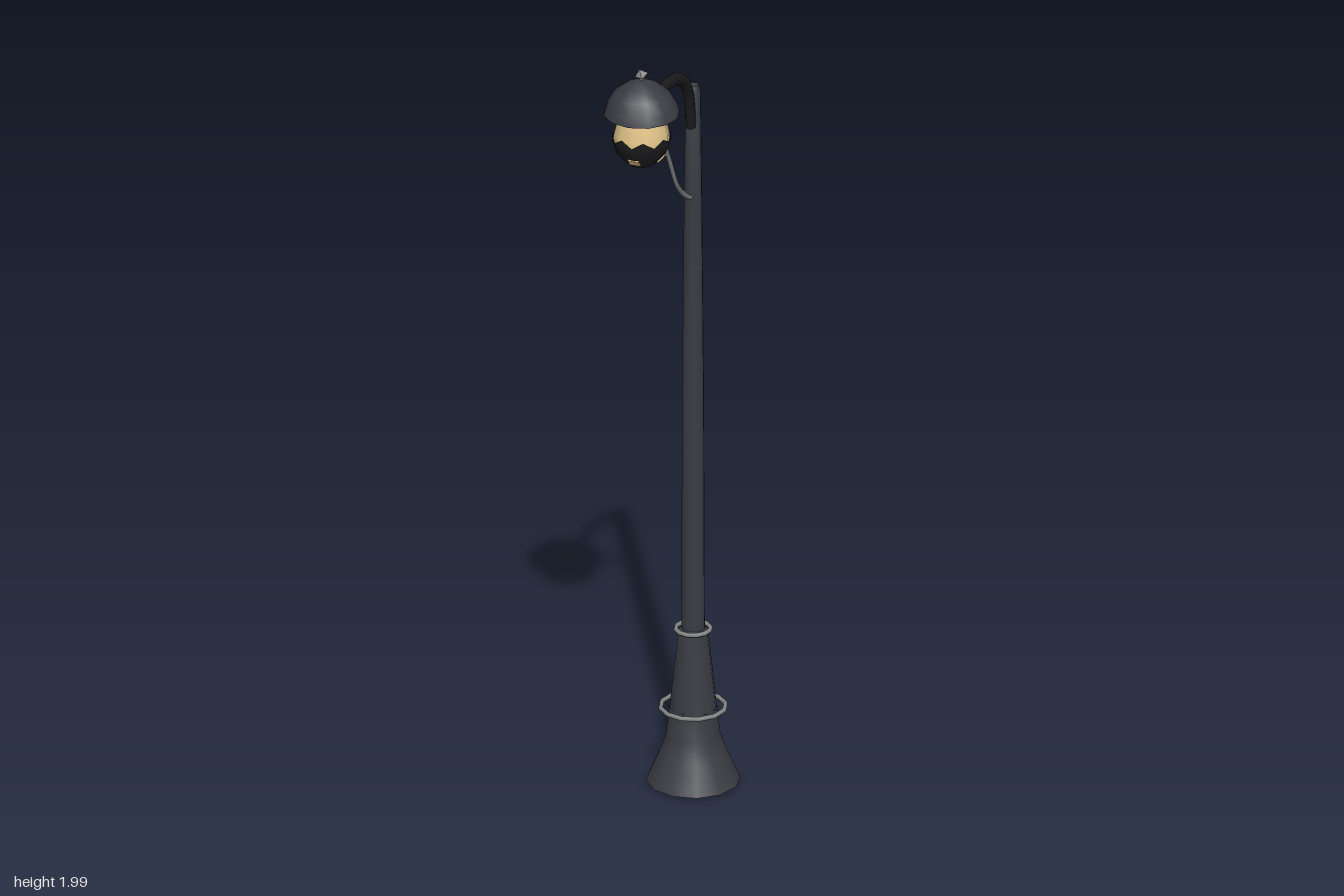
import * as THREE from 'three';
import { toCreasedNormals } from 'three/addons/utils/BufferGeometryUtils.js';

const paint = (color) => new THREE.MeshStandardMaterial({ color, side: THREE.DoubleSide });
const iron = paint(0x3a3c43);
const black = paint(0x1c1c1e);
const steel = paint(0x858988);
const glass = paint(0xe6c88c);

const POLE_Z = -0.17;
const LAMP_Z = 0.188;

export function createModel() {
  const model = new THREE.Group();

  function add(parent, name, geometry, material, x = 0, y = 0, z = 0) {
    const mesh = new THREE.Mesh(geometry, material);
    mesh.name = name;
    mesh.position.set(x, y, z);
    parent.add(mesh);
    return mesh;
  }

  // Turned part from [radius, height] pairs, bottom to top
  function turned(profile, sides = 12, phase = 0) {
    const points = profile.map(([r, y]) => new THREE.Vector2(r, y));
    return toCreasedNormals(new THREE.LatheGeometry(points, sides, phase), 0.6);
  }

  function rod(points, radius, segments, sides) {
    const curve = new THREE.CatmullRomCurve3(points.map(([y, z]) => new THREE.Vector3(0, y, z)));
    return new THREE.TubeGeometry(curve, segments, radius, sides);
  }

  // Post: flared foot, tapered sleeve, long shaft with domed tip
  const post = new THREE.Group();
  post.name = 'post';
  post.position.z = POLE_Z;
  model.add(post);
  add(post, 'foot', turned([
    [0, 0.005], [0.09, 0.005], [0.111, 0.012], [0.107, 0.022],
    [0.08, 0.085], [0.064, 0.13], [0.056, 0.2],
  ], 12, -0.1), iron);
  add(post, 'sleeve', turned([[0.056, 0.2], [0.036, 0.395], [0.028, 0.402]]), iron);
  add(post, 'shaft', turned([
    [0.028, 0.39], [0.026, 1.0], [0.021, 1.55], [0.018, 1.785], [0.013, 1.802], [0, 1.808],
  ]), iron);

  // Collar rings standing off the sleeve
  for (const [name, radius, y] of [['lowerRing', 0.077, 0.2], ['upperRing', 0.041, 0.4]]) {
    add(post, name, new THREE.TorusGeometry(radius, 0.0055, 6, 12), steel, 0, y).rotation.x = Math.PI / 2;
  }

  // Curved arm, narrower sideways than in its own plane, and the brace below it
  const arm = add(model, 'arm', rod([
    [1.70, -0.158], [1.76, -0.148], [1.815, -0.125], [1.855, -0.08],
    [1.878, -0.016], [1.88, 0.055], [1.857, 0.115], [1.84, 0.14],
  ], 0.016, 14, 8), black);
  arm.scale.x = 0.75;
  add(model, 'brace', rod([
    [1.515, -0.158], [1.53, -0.13], [1.56, -0.09], [1.6, -0.052], [1.68, -0.005], [1.77, 0.052],
  ], 0.006, 12, 6), steel);

  // Lantern
  const lantern = new THREE.Group();
  lantern.name = 'lantern';
  lantern.position.z = LAMP_Z;
  model.add(lantern);
  add(lantern, 'globe', turned([
    [0, 1.768], [0.03, 1.77], [0.056, 1.79], [0.066, 1.815],
    [0.066, 1.835], [0.056, 1.875], [0.05, 1.91],
  ]), glass);

  // Bowl holding the globe, its upper edge cut in a zigzag
  const bowl = new THREE.LatheGeometry(
    [[0, 1.758], [0.034, 1.76], [0.06, 1.79], [0.069, 1.818], [0.069, 1.838]]
      .map(([r, y]) => new THREE.Vector2(r, y)), 16);
  const p = bowl.attributes.position;
  for (let i = 4; i < p.count; i += 5) {
    const column = (i - 4) / 5;
    if (column % 2 === 0) p.setY(i, 1.822);
  }
  add(lantern, 'bowl', toCreasedNormals(bowl, 0.6), black);

  // Small glowing panes in the four sides of the bowl
  for (let k = 0; k < 4; k++) {
    const mount = new THREE.Group();
    mount.name = 'paneMount';
    mount.rotation.y = k * Math.PI / 2;
    lantern.add(mount);
    const pane = add(mount, 'pane', new THREE.BoxGeometry(0.026, 0.022, 0.004), glass, 0, 1.779, 0.051);
    pane.rotation.x = 0.71;
  }

  // Shade with a hollow underside, and the faceted finial on top
  add(lantern, 'shade', turned([
    [0.05, 1.9], [0.09, 1.886], [0.084, 1.905], [0.066, 1.937],
    [0.04, 1.957], [0.015, 1.969], [0, 1.972],
  ]), iron);
  add(lantern, 'finialStem', new THREE.CylinderGeometry(0.005, 0.005, 0.02, 6), steel, 0, 1.973);
  const gem = new THREE.OctahedronGeometry(0.0165);
  const finial = add(lantern, 'finial', gem, steel.clone(), 0, 1.984);
  finial.material.flatShading = true;
  finial.rotation.set(0.2, 0.4, 0.25);

  return model;
}
